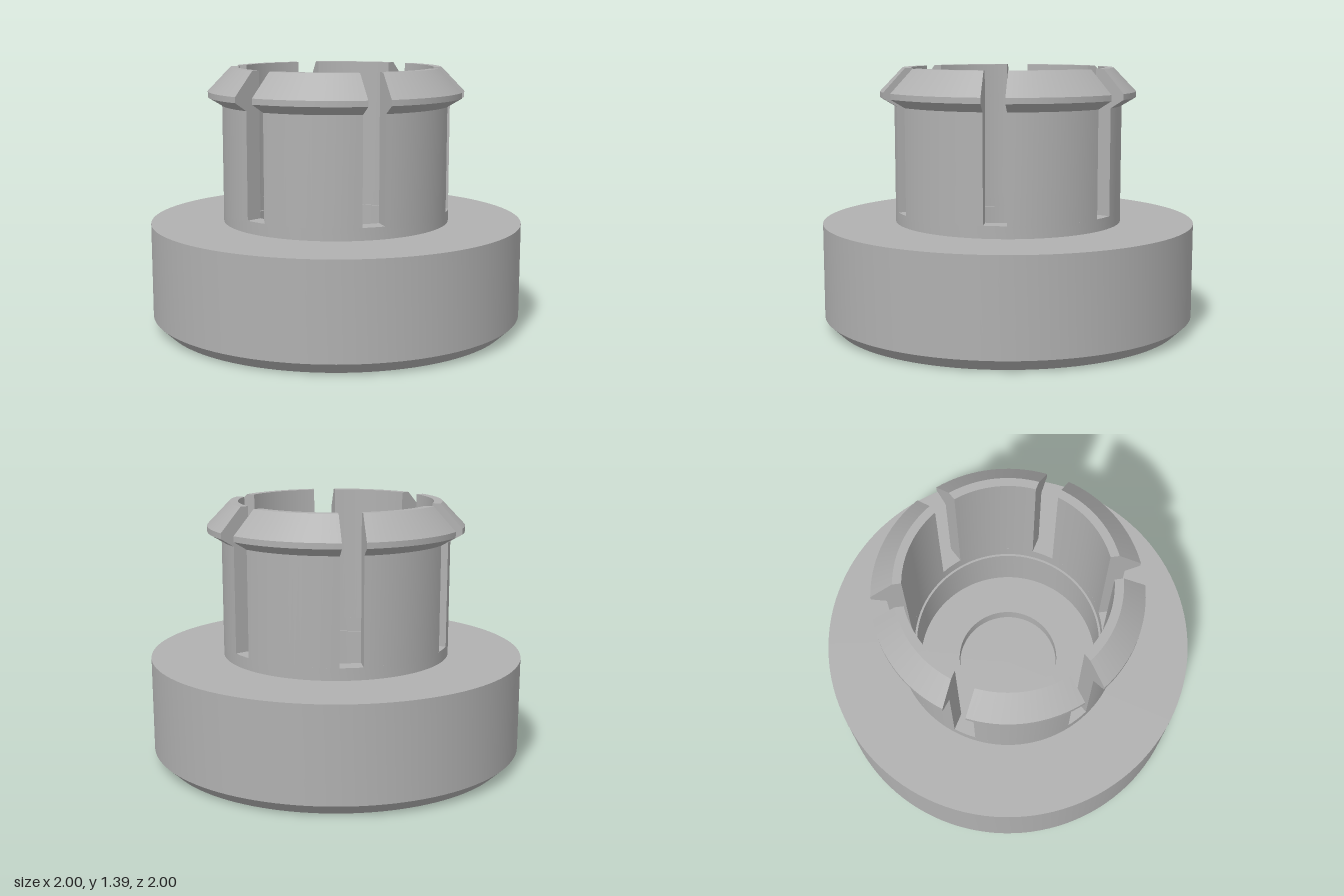
import * as THREE from 'three';
import { toCreasedNormals } from 'three/addons/utils/BufferGeometryUtils.js';

const CREASE = Math.PI / 9;
const SLOT_HALF = 0.06;
const FINGERS = 6;

// Ring sector swept from a profile of [radius, y]; its ends leave parallel-sided slots.
function fingerGeometry(profile, steps) {
  const pos = [];
  const point = (i, s) => {
    const [r, y] = profile[i];
    const t = s * (Math.PI / FINGERS - Math.asin(SLOT_HALF / r));
    return [r * Math.sin(t), y, r * Math.cos(t)];
  };
  const tri = (a, b, c) => pos.push(...a, ...b, ...c);

  // outer, top and inner walls (the foot sits on the collar)
  for (let i = 0; i < profile.length - 1; i++) {
    for (let k = 0; k < steps; k++) {
      const s0 = (2 * k) / steps - 1, s1 = (2 * (k + 1)) / steps - 1;
      const a = point(i, s0), b = point(i, s1), c = point(i + 1, s1), d = point(i + 1, s0);
      tri(a, b, c);
      tri(a, c, d);
    }
  }
  // flat slot faces at both ends
  const outline = profile.map(([r, y]) => new THREE.Vector2(r, y));
  for (const [a, b, c] of THREE.ShapeUtils.triangulateShape(outline, [])) {
    tri(point(a, -1), point(b, -1), point(c, -1));
    tri(point(a, 1), point(c, 1), point(b, 1));
  }
  const geo = new THREE.BufferGeometry();
  geo.setAttribute('position', new THREE.Float32BufferAttribute(pos, 3));
  return toCreasedNormals(geo, CREASE);
}

export function createModel() {
  const model = new THREE.Group();
  model.name = 'snapInPlug';
  const grey = new THREE.MeshStandardMaterial({ color: 0xb0b0b0 });
  grey.name = 'plain grey';

  // Chamfered disc with collar, stepped bore and a recess in its floor
  const bodyProfile = [
    [0, 0], [0.935, 0], [1, 0.062], [1, 0.565], [0.61, 0.565], [0.61, 0.63],
    [0.52, 0.63], [0.52, 0.55], [0.508, 0.55], [0.508, 0.235],
    [0.283, 0.235], [0.283, 0.15], [0, 0.15],
  ].map(([r, y]) => new THREE.Vector2(r, y));
  const body = new THREE.Mesh(
    toCreasedNormals(new THREE.LatheGeometry(bodyProfile, 120), CREASE), grey);
  body.name = 'base';
  model.add(body);

  // Six snap fingers with a barbed lip
  const fingerGeo = fingerGeometry([
    [0.61, 0.63], [0.61, 1.19], [0.685, 1.235], [0.685, 1.265],
    [0.565, 1.39], [0.52, 1.39], [0.52, 0.63],
  ], 18);
  for (let i = 0; i < FINGERS; i++) {
    const finger = new THREE.Mesh(fingerGeo, grey);
    finger.name = `snapFinger${i + 1}`;
    finger.rotation.y = (i * 2 * Math.PI) / FINGERS;
    model.add(finger);
  }
  return model;
}
